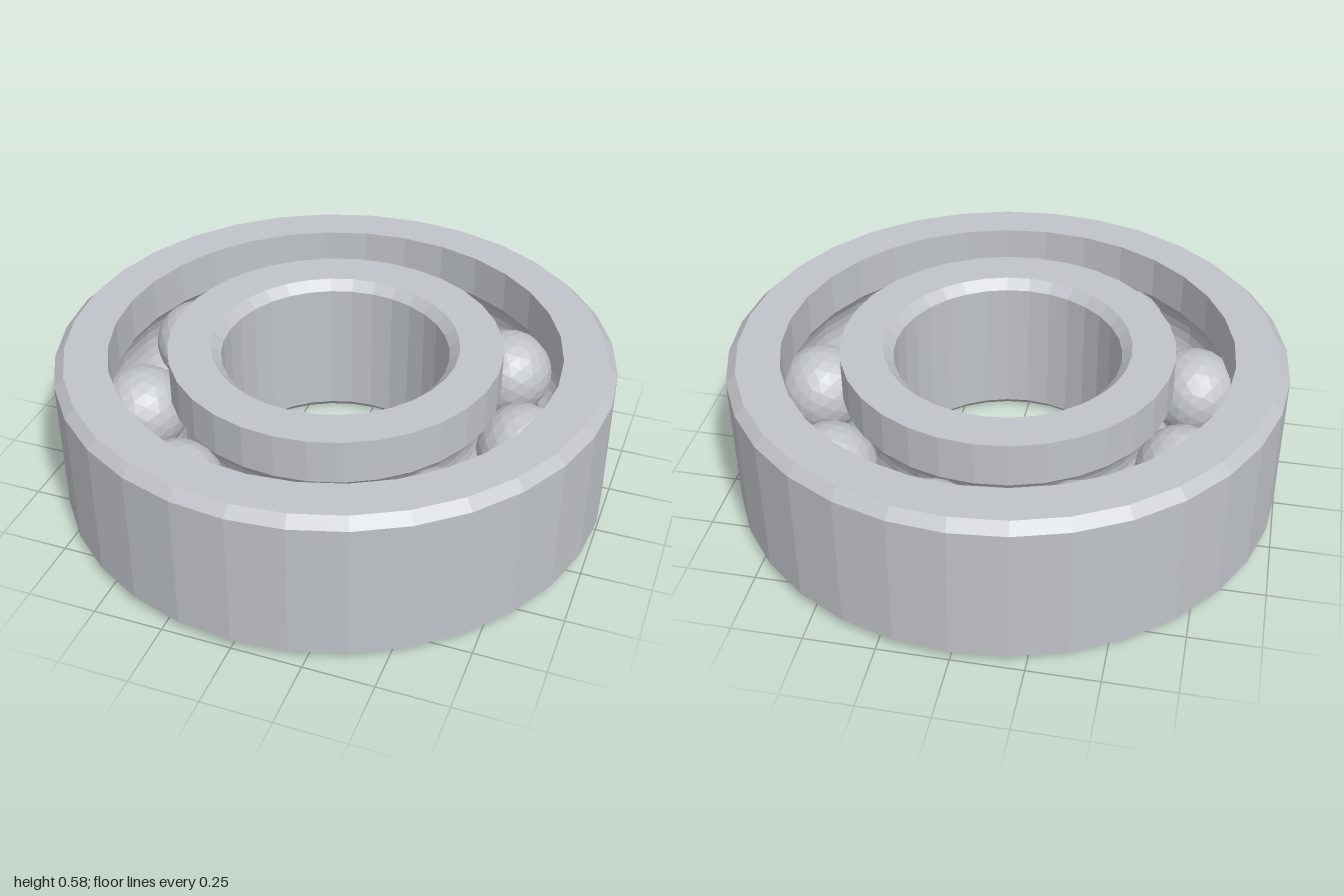
import * as THREE from 'three';

const HEIGHT = 0.585, MID = HEIGHT / 2, CHAMFER = 0.035;
const SIDES = 32;
const BALLS = 9, BALL_RADIUS = 0.163, ORBIT = 0.705;
const GROOVE_RADIUS = 0.166;

// Arc of the ball groove where it cuts a ring wall of radius `wall`
// (dir +1: outer ring, listed downwards; dir -1: inner ring, listed upwards)
function groove(wall, dir, steps = 8) {
  const limit = Math.acos(Math.abs(wall - ORBIT) / GROOVE_RADIUS);
  const points = [];
  for (let i = 0; i <= steps; i++) {
    const a = limit * (1 - (2 * i) / steps);
    points.push([
      ORBIT + dir * GROOVE_RADIUS * Math.cos(a),
      MID + dir * GROOVE_RADIUS * Math.sin(a),
    ]);
  }
  return points;
}

// Closed counter-clockwise cross-section turned around the axis
function ring(name, profile, material) {
  const points = [...profile, profile[0]].map(([r, y]) => new THREE.Vector2(r, y));
  const mesh = new THREE.Mesh(new THREE.LatheGeometry(points, SIDES), material);
  mesh.name = name;
  return mesh;
}

export function createModel() {
  const group = new THREE.Group();
  group.name = 'ballBearing';
  const steel = new THREE.MeshStandardMaterial({ color: 0xc0c3c8, flatShading: true });
  steel.name = 'steel';

  // Outer race: chamfered outside, grooved inside
  group.add(ring('outerRace', [
    [1 - CHAMFER, 0], [1, CHAMFER], [1, HEIGHT - CHAMFER], [1 - CHAMFER, HEIGHT],
    [0.81, HEIGHT], ...groove(0.81, 1), [0.81, 0],
  ], steel));

  // Inner race: grooved outside, chamfered bore
  group.add(ring('innerRace', [
    [0.6, 0], ...groove(0.6, -1), [0.6, HEIGHT],
    [0.41 + CHAMFER, HEIGHT], [0.41, HEIGHT - CHAMFER], [0.41, CHAMFER], [0.41 + CHAMFER, 0],
  ], steel));

  // Balls, evenly spaced between the races
  const ballGeometry = new THREE.IcosahedronGeometry(BALL_RADIUS, 3);
  const balls = new THREE.Group();
  balls.name = 'balls';
  for (let i = 0; i < BALLS; i++) {
    const a = (i / BALLS) * Math.PI * 2;
    const ball = new THREE.Mesh(ballGeometry, steel);
    ball.name = `ball${i + 1}`;
    ball.position.set(ORBIT * Math.cos(a), MID, ORBIT * Math.sin(a));
    balls.add(ball);
  }
  group.add(balls);

  return group;
}
